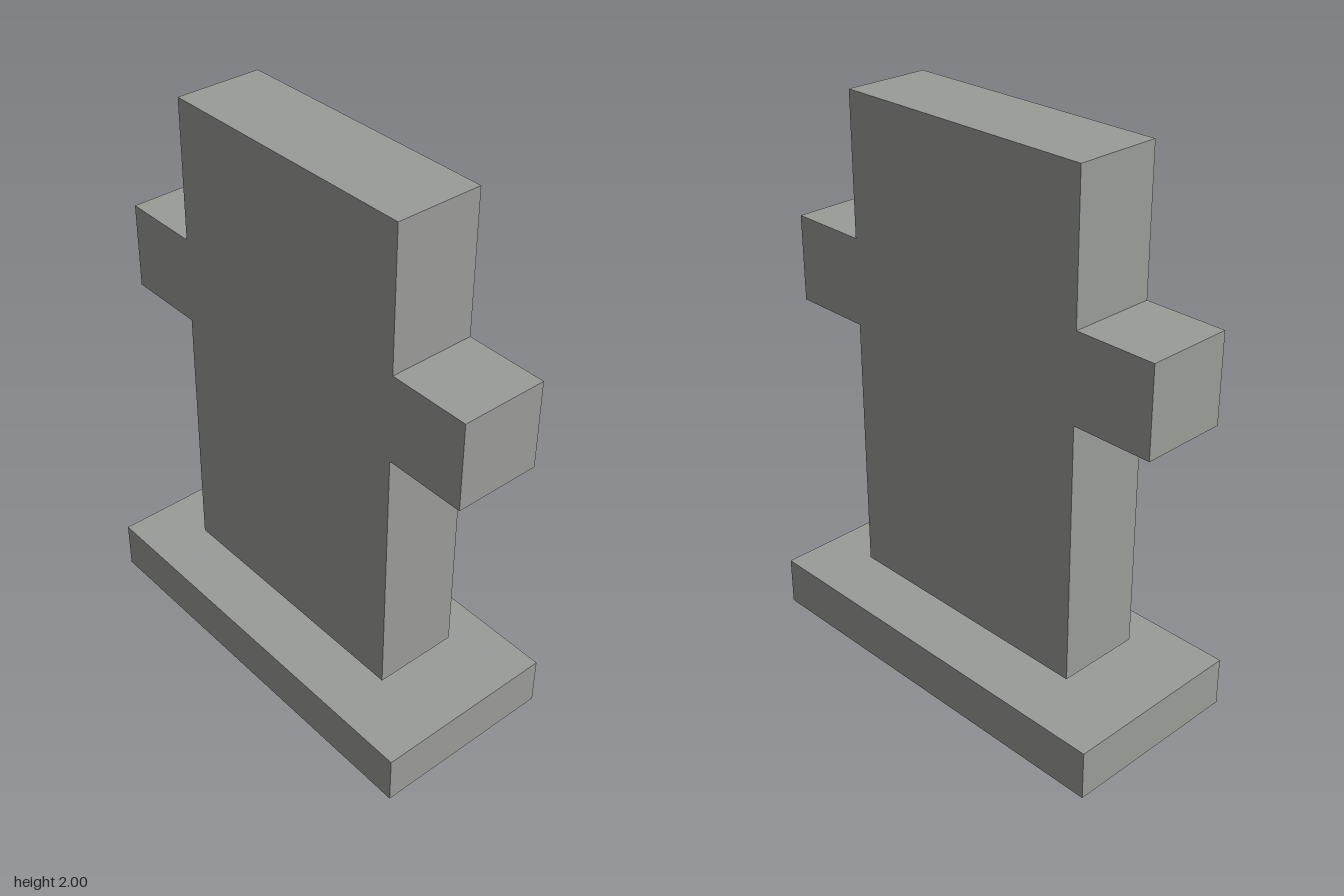
import * as THREE from 'three';

export function createModel() {
  const model = new THREE.Group();
  model.name = 'graveMarker';

  const stone = new THREE.MeshStandardMaterial({ color: 0x9a9c98 });
  stone.name = 'grey stone';

  // Low rectangular plinth
  const base = new THREE.Mesh(new THREE.BoxGeometry(1.5, 0.18, 0.68), stone);
  base.name = 'base';
  base.position.y = 0.09;
  model.add(base);

  // Cross-shaped slab: right half outline, mirrored for the left
  const half = [[0.5, 0.23], [0.5, 1.18], [0.797, 1.18], [0.797, 1.495], [0.5, 1.495], [0.5, 2]];
  const outline = [...half, ...half.map(([x, y]) => [-x, y]).reverse()];
  const shape = new THREE.Shape(outline.map(([x, y]) => new THREE.Vector2(x, y)));
  const depth = 0.312;
  const geometry = new THREE.ExtrudeGeometry(shape, { depth, bevelEnabled: false });
  geometry.translate(0, 0, -depth / 2);

  // The slab floats slightly above the plinth
  const slab = new THREE.Mesh(geometry, stone);
  slab.name = 'crossSlab';
  model.add(slab);

  return model;
}
